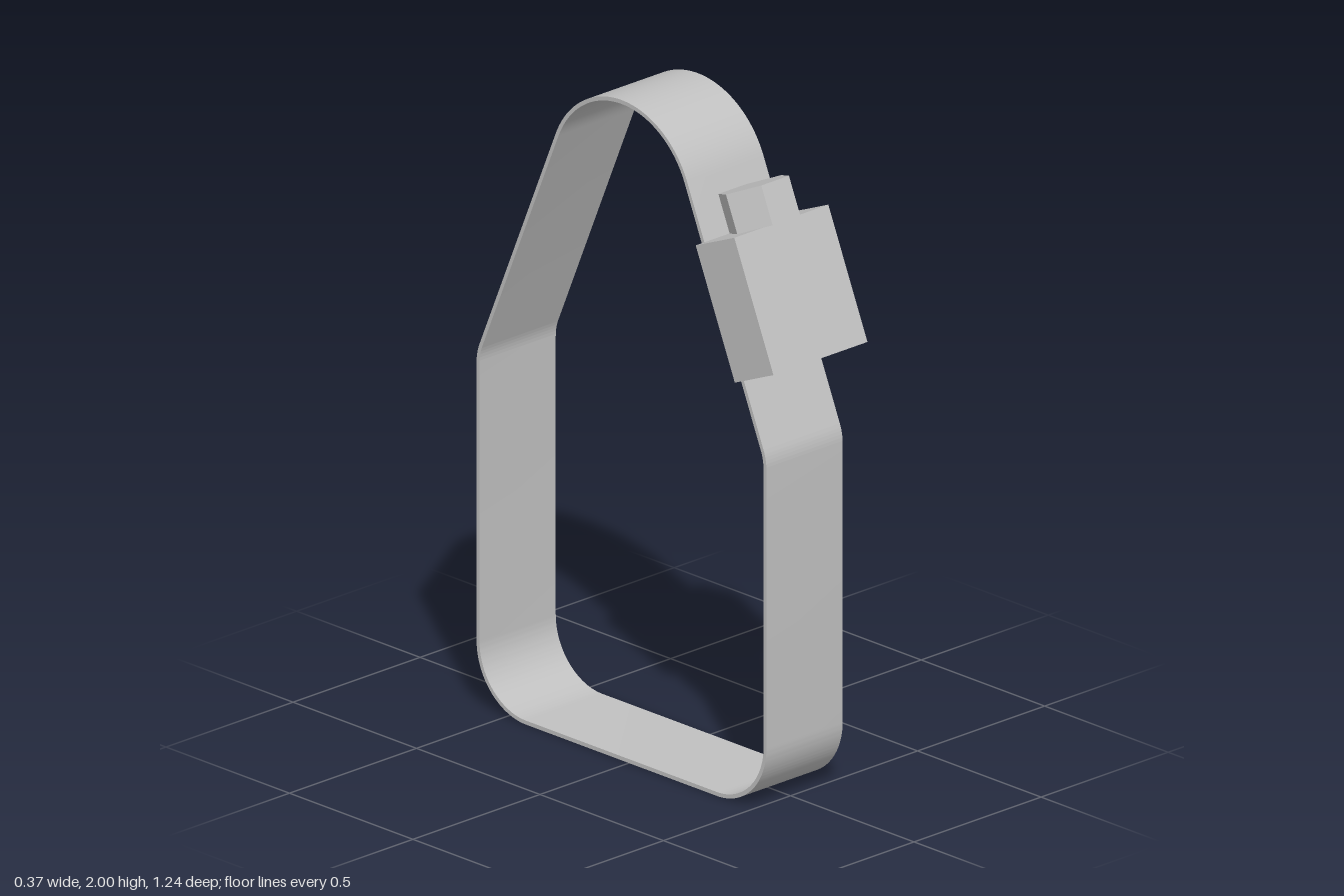
import * as THREE from 'three';
import { toCreasedNormals } from 'three/addons/utils/BufferGeometryUtils.js';

const HALF = 0.587, TOP_R = 0.29, TOP_Y = 2 - TOP_R, BASE_R = 0.2, BEND_R = 0.15;
const TILT = 0.403; // lean of the upper sides
const BAND_Z = -0.03;

// Closed outline of the loop, inset by d: tangent arcs joined by straight runs
function outline(path, d) {
  const bx = HALF - BEND_R;
  const by = TOP_Y + (TOP_R - BEND_R - Math.cos(TILT) * bx) / Math.sin(TILT);
  const PI = Math.PI;
  path.absarc(HALF - BASE_R, BASE_R, BASE_R - d, -PI / 2, 0);
  path.absarc(bx, by, BEND_R - d, 0, TILT);
  path.absarc(0, TOP_Y, TOP_R - d, TILT, PI - TILT);
  path.absarc(-bx, by, BEND_R - d, PI - TILT, PI);
  path.absarc(-HALF + BASE_R, BASE_R, BASE_R - d, PI, PI * 1.5);
  path.closePath();
  return path;
}

export function createModel() {
  const model = new THREE.Group();
  model.name = 'bandClamp';
  const steel = new THREE.MeshStandardMaterial({ color: 0xc0c0c0 });
  steel.name = 'steel grey';

  const add = (parent, name, geometry) => {
    const mesh = new THREE.Mesh(geometry, steel);
    mesh.name = name;
    parent.add(mesh);
    return mesh;
  };

  // Thin strap bent into a closed loop
  const shape = outline(new THREE.Shape(), 0);
  shape.holes.push(outline(new THREE.Path(), 0.012));
  const strap = new THREE.ExtrudeGeometry(shape, { depth: 0.3, bevelEnabled: false, curveSegments: 24 });
  strap.translate(0, 0, -0.15).rotateY(-Math.PI / 2);
  add(model, 'strap', toCreasedNormals(strap, 0.5)).position.z = BAND_Z;

  // Tightener on the sloping front: local y runs up the slope, local z points away from it
  const tightener = new THREE.Group();
  tightener.name = 'tightener';
  tightener.position.set(0, TOP_Y, BAND_Z);
  tightener.rotation.x = -TILT;
  model.add(tightener);

  add(tightener, 'housing', new THREE.BoxGeometry(0.37, 0.404, 0.17)).position.set(0, -0.377, 0.376);

  // Hexagonal screw head with corners to the sides
  const hex = new THREE.CylinderGeometry(0.109, 0.109, 0.117, 6).rotateY(Math.PI / 6 * 3);
  add(tightener, 'screwHead', toCreasedNormals(hex, 0.5)).position.set(0, -0.117, 0.389);

  return model;
}
